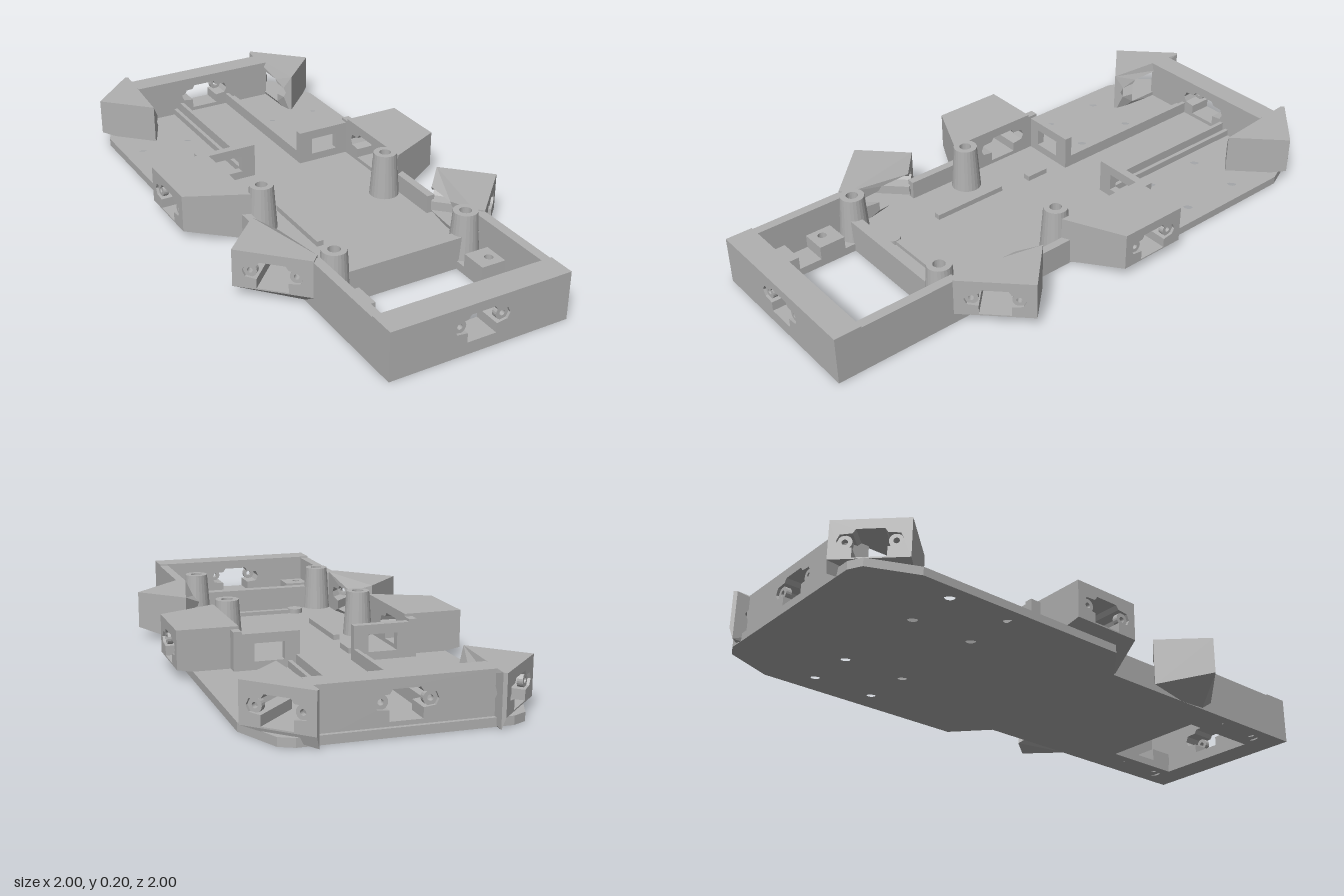
import * as THREE from 'three';

const grey = new THREE.MeshStandardMaterial({ color: 0xb0b0b0 });
grey.name = 'plain grey';

const polygon = (pts, Kind = THREE.Shape) => new Kind(pts.map(([x, y]) => new THREE.Vector2(x, y)));
const rect = (x0, x1, y0, y1, Kind) => polygon([[x0, y0], [x1, y0], [x1, y1], [x0, y1]], Kind);
const circle = (x, y, r) => {
  const p = new THREE.Path();
  p.absarc(x, y, r, 0, Math.PI * 2, true);
  return p;
};
const extrude = (shape, depth) =>
  new THREE.ExtrudeGeometry(shape, { depth, bevelEnabled: false, curveSegments: 10 });

export function createModel() {
  const model = new THREE.Group();
  model.name = 'sensorChassis';
  const body = new THREE.Group(); // x across, z along the length
  body.name = 'chassis';
  body.rotation.y = Math.PI / 4;
  model.add(body);

  const add = (name, geo, parent = body) => {
    const mesh = new THREE.Mesh(geo, grey);
    mesh.name = name;
    parent.add(mesh);
    return mesh;
  };
  const box = (name, x0, x1, y0, y1, z0, z1) =>
    add(name, new THREE.BoxGeometry(x1 - x0, y1 - y0, z1 - z0)
      .translate((x0 + x1) / 2, (y0 + y1) / 2, (z0 + z1) / 2));
  // Same box on either side of the centre line
  const sideBox = (name, s, x0, x1, y0, y1, z0, z1) =>
    box(name, Math.min(s * x0, s * x1), Math.max(s * x0, s * x1), y0, y1, z0, z1);
  // Shape drawn in plan (x, z) and raised from y0 to y1
  const slab = (name, shape, y0, y1) =>
    add(name, extrude(shape, y1 - y0).rotateX(Math.PI / 2).translate(0, y1, 0));

  // Block facing along yaw, pierced by a sensor opening with two screw ears
  const sensorBlock = (name, width, depth, yaw, x, z, fix) => {
    const shape = rect(-width / 2, width / 2, 0, 0.18);
    shape.holes.push(polygon([
      [-0.055, 0.045], [-0.055, 0.08], [-0.095, 0.085], [-0.105, 0.105], [-0.095, 0.127], [-0.055, 0.13],
      [-0.045, 0.145], [0.045, 0.145], [0.055, 0.13], [0.095, 0.127], [0.105, 0.105], [0.095, 0.085],
      [0.055, 0.08], [0.055, 0.045]], THREE.Path));
    const geo = extrude(shape, depth).translate(0, 0, -depth);
    const p = geo.attributes.position;
    // Undercut the front lower edge of projecting blocks
    if (fix) for (let i = 0; i < p.count; i++)
      if (p.getY(i) < 0.01 && p.getZ(i) > -0.001) p.setY(i, 0.04);
    geo.rotateY(yaw).translate(x, 0, z);
    if (fix) {
      const dx = Math.sin(yaw), dz = Math.cos(yaw);
      for (let i = 0; i < p.count; i++) {
        // Trim the inner end flush with the chassis side
        const gap = fix.limit - Math.abs(p.getX(i));
        if (gap > 0) {
          const t = gap / Math.abs(dx);
          p.setX(i, p.getX(i) + dx * t);
          p.setZ(i, p.getZ(i) + dz * t);
        }
        if (fix.flare && Math.abs(p.getX(i)) < 0.4 && p.getZ(i) > 0) p.setZ(i, 0.12);
      }
    }
    geo.computeVertexNormals();
    add(name, geo);
    // Recessed screw ears
    const ears = new THREE.Group();
    ears.name = name + 'Ears';
    ears.position.set(x, 0, z);
    ears.rotation.y = yaw;
    body.add(ears);
    for (const s of [-1, 1]) {
      const ring = new THREE.Shape().absarc(s * 0.08, 0.105, 0.024, 0, Math.PI * 2);
      ring.holes.push(circle(s * 0.08, 0.105, 0.01));
      add('screwEar', extrude(ring, 0.02).translate(0, 0, -0.03), ears);
    }
  };

  // Base plate in two layers, the lower one with countersunk holes
  const half = [[0.34, 1.075], [0.34, 0.1], [0.474, -0.02], [0.474, -0.84], [0.4, -1.01], [0.35, -1.035]];
  const outline = [...half, ...half.map(([x, z]) => [-x, z]).reverse()];
  const screws = [[0.396, -0.68], [0.396, -0.438], [0.198, -0.68], [0.198, -0.438], [0.27, 0.746], [0.27, 0.933]];
  [[0, 0.012, 0.03], [0.012, 0.03, 0.018]].forEach(([y0, y1, r]) => {
    const plate = polygon(outline);
    plate.holes.push(rect(-0.21, 0.21, 0.65, 0.97, THREE.Path));
    for (const [x, z] of screws) for (const s of [-1, 1]) plate.holes.push(circle(s * x, z, r));
    slab('basePlate', plate, y0, y1);
  });

  // End walls
  sensorBlock('frontWall', 0.68, 0.1, 0, 0, 1.075);
  sensorBlock('backWall', 0.6, 0.09, Math.PI, 0, -1.02);
  box('frontCrossBar', -0.3, 0.3, 0.03, 0.12, 0.61, 0.65);

  for (const s of [-1, 1]) {
    // Projecting sensor housings
    sensorBlock('frontSensorHousing', 0.28, 0.22, s * Math.PI / 4, s * 0.438, 0.523, { limit: 0.31 });
    sensorBlock('sideSensorHousing', 0.265, 0.22, s * Math.PI / 2, s * 0.53, -0.115, { limit: 0.31, flare: true });
    sensorBlock('backSensorHousing', 0.26, 0.235, s * Math.PI * 0.75, s * 0.392, -0.986, { limit: 0.29 });

    // Side walls
    sideBox('sideWall', s, 0.31, 0.34, 0.03, 0.17, -0.29, -0.245);
    sideBox('lowSideWall', s, 0.31, 0.34, 0.03, 0.1, 0.1, 0.32);
    sideBox('frameWall', s, 0.305, 0.34, 0.03, 0.175, 0.6, 0.98);

    // Cross wall with a window
    const x0 = s > 0 ? 0.1 : -0.32, x1 = x0 + 0.22;
    const wall = rect(x0, x1, 0.03, 0.16);
    wall.holes.push(rect(x0 + 0.055, x1 - 0.055, 0.06, 0.125, THREE.Path));
    add('windowWall', extrude(wall, 0.03).translate(0, 0, -0.29));

    // Floor rails
    sideBox('innerRail', s, 0.1, 0.115, 0.03, 0.075, -0.93, -0.28);
    sideBox('outerRail', s, 0.13, 0.145, 0.03, 0.055, -0.93, -0.28);

    // Screw pads in the front frame
    for (const z of [0.746, 0.933]) {
      const pad = rect(s > 0 ? 0.21 : -0.31, s > 0 ? 0.31 : -0.21, z - 0.055, z + 0.045);
      pad.holes.push(circle(s * 0.27, z, 0.016));
      slab('screwPad', pad, 0.03, 0.08);
    }

    // Hollow tapered posts
    for (const z of [0.106, 0.615]) {
      const profile = [[0.056, 0.03], [0.044, 0.2], [0.022, 0.2], [0.022, 0.08], [0, 0.08]];
      const post = add('post', new THREE.LatheGeometry(
        profile.map(([r, y]) => new THREE.Vector2(r, y)), 24).toNonIndexed());
      post.geometry.computeVertexNormals();
      post.position.set(s * 0.26, 0, z);
    }
  }

  // Low floor ribs and round boss
  box('floorRib', -0.16, -0.135, 0.03, 0.05, 0.03, 0.33);
  box('shortFloorRib', -0.15, -0.12, 0.03, 0.05, -0.18, -0.09);
  box('crossRib', -0.14, 0.22, 0.03, 0.045, 0.52, 0.54);
  add('floorBoss', new THREE.CylinderGeometry(0.03, 0.03, 0.02, 20)).position.set(-0.14, 0.038, 0.535);

  return model;
}
